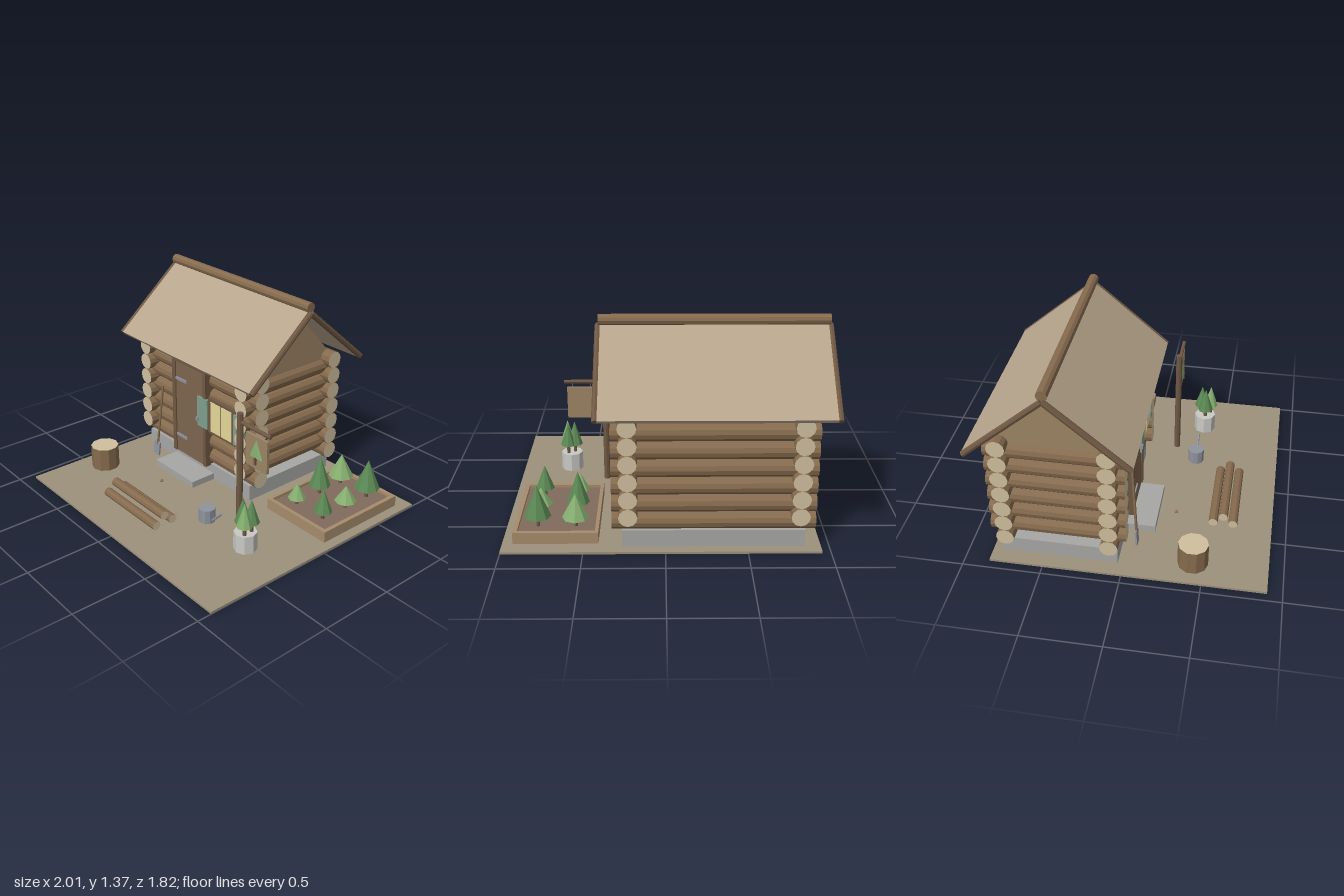
import * as THREE from 'three';

const mat = (color, extra = {}) => new THREE.MeshStandardMaterial({ color, flatShading: true, ...extra });
const M = {
  bark: mat(0x866b4e), cut: mat(0xcfbf9e), darkWood: mat(0x6f5843), door: mat(0x7d654d),
  roof: mat(0xb8a58c), gable: mat(0x9c8464), stone: mat(0xa6a6a4), metal: mat(0x8f939c),
  ground: mat(0x9c917c), soil: mat(0x806b5c), plank: mat(0xa68c6c), pot: mat(0xc9c9c4),
  glow: mat(0xe6d89a), shutter: mat(0x7fa08c), green: mat(0x5c8a55), lightGreen: mat(0x86b070),
  pebble: mat(0x9a7650),
};
const V = (x, y, z) => new THREE.Vector3(x, y, z);

export function createModel() {
  const root = new THREE.Group();

  const group = (name) => {
    const g = new THREE.Group();
    g.name = name;
    root.add(g);
    return g;
  };
  const add = (name, geo, material, parent = root) => {
    const m = new THREE.Mesh(geo, material);
    m.name = name;
    parent.add(m);
    return m;
  };
  // Box given by its minimum and maximum corners
  const box = (name, material, [x0, y0, z0], [x1, y1, z1], parent) => {
    const m = add(name, new THREE.BoxGeometry(x1 - x0, y1 - y0, z1 - z0), material, parent);
    m.position.set((x0 + x1) / 2, (y0 + y1) / 2, (z0 + z1) / 2);
    return m;
  };
  // Round pole between two points
  const pole = (name, material, a, b, r, sides, parent, ends = material) => {
    const d = b.clone().sub(a);
    const m = add(name, new THREE.CylinderGeometry(r, r, d.length(), sides), [material, ends, ends], parent);
    m.position.copy(a).add(b).multiplyScalar(0.5);
    m.quaternion.setFromUnitVectors(V(0, 1, 0), d.normalize());
    return m;
  };
  // Low-poly fir: trunk and one cone
  const tree = (x, z, ground, base, top, r, material, parent) => {
    pole('treeTrunk', M.darkWood, V(x, ground, z), V(x, base + 0.01, z), 0.012, 6, parent);
    const c = add('treeCrown', new THREE.ConeGeometry(r, top - base, 8), material, parent);
    c.position.set(x, (base + top) / 2, z);
  };

  // Ground slab and cabin foundation
  box('ground', M.ground, [-0.945, 0, -0.84], [1, 0.015, 0.905]);
  box('foundation', M.stone, [-0.845, 0.01, -0.775], [0.265, 0.126, -0.035]);
  box('doorStep', M.stone, [-0.53, 0.01, -0.035], [-0.11, 0.06, 0.155]);

  // Stacked log walls with crossing corners
  const walls = group('logWalls');
  const R = 0.0575, midX = -0.29, midZ = -0.4075, halfX = 0.515, halfZ = 0.3275;
  for (const s of [-1, 1]) {
    for (let i = 0; i < 7; i++) {
      const y = 0.183 + i * 0.115, z = midZ + s * halfZ;
      pole('longLog', M.bark, V(-0.905, y, z), V(0.325, y, z), R, 12, walls, M.cut);
    }
    for (let i = 0; i < 6; i++) {
      const y = 0.2405 + i * 0.115, x = midX + s * halfX;
      pole('sideLog', M.bark, V(x, y, -0.835), V(x, y, 0.02), R, 12, walls, M.cut);
    }
  }

  // Gable triangles
  const tri = new THREE.Shape([[-0.39, 0.86], [0.39, 0.86], [0, 1.285]].map((p) => new THREE.Vector2(...p)));
  for (const s of [-1, 1]) {
    const g = add('gable', new THREE.ExtrudeGeometry(tri, { depth: 0.05, bevelEnabled: false }), M.gable);
    g.rotation.y = Math.PI / 2;
    g.position.set(midX + s * halfX - 0.025, 0, midZ);
  }

  // Roof slopes, edge poles and ridge log
  const roof = group('roof');
  const ridgeY = 1.305, eaveY = 0.885, run = 0.493;
  const len = Math.hypot(run, ridgeY - eaveY);
  for (const s of [-1, 1]) {
    const slope = add('roofSlope', new THREE.BoxGeometry(1.365, 0.03, len), M.roof, roof);
    slope.position.set(-0.292, (ridgeY + eaveY) / 2, midZ + s * run / 2);
    slope.rotation.x = s * Math.atan2(ridgeY - eaveY, run);
    for (const x of [-0.985, 0.4]) {
      pole('roofEdge', M.darkWood, V(x, ridgeY, midZ), V(x, eaveY, midZ + s * run), 0.02, 8, roof);
    }
  }
  pole('ridgeLog', M.bark, V(-0.985, 1.34, midZ), V(0.4, 1.34, midZ), 0.034, 10, roof);

  // Door with frame, hinges and handle
  const door = group('door');
  box('frameLeft', M.darkWood, [-0.505, 0.115, -0.06], [-0.47, 0.855, 0.012], door);
  box('frameRight', M.darkWood, [-0.17, 0.115, -0.06], [-0.14, 0.855, 0.012], door);
  box('frameTop', M.darkWood, [-0.47, 0.815, -0.06], [-0.17, 0.855, 0.012], door);
  box('doorPanel', M.door, [-0.47, 0.115, -0.06], [-0.17, 0.815, 0.003], door);
  for (const y of [0.25, 0.687]) box('hinge', M.metal, [-0.465, y - 0.01, 0], [-0.35, y + 0.01, 0.012], door);
  box('handle', M.metal, [-0.23, 0.448, 0], [-0.21, 0.478, 0.025], door);

  // Window with two panes and shutters
  const win = group('window');
  box('windowFrame', M.darkWood, [-0.12, 0.395, -0.06], [0.155, 0.655, 0.005], win);
  for (const x of [-0.09, 0.023]) box('pane', M.glow, [x, 0.415, -0.02], [x + 0.1, 0.635, 0.01], win);
  for (const x of [-0.225, 0.152]) box('shutter', M.shutter, [x, 0.415, -0.005], [x + 0.105, 0.635, 0.016], win);

  // Planter bed with firs
  const bed = group('planterBed');
  box('bedBack', M.plank, [0.41, 0.01, -0.74], [0.935, 0.09, -0.713], bed);
  box('bedFront', M.plank, [0.41, 0.01, -0.092], [0.935, 0.09, -0.065], bed);
  box('bedSide', M.plank, [0.41, 0.01, -0.713], [0.432, 0.09, -0.092], bed);
  box('bedSide', M.plank, [0.908, 0.01, -0.713], [0.935, 0.09, -0.092], bed);
  box('soil', M.soil, [0.432, 0.01, -0.713], [0.908, 0.07, -0.092], bed);
  [
    [0.555, -0.61, 0.13, 0.29, 0.085, M.lightGreen], [0.79, -0.61, 0.14, 0.345, 0.085, M.green],
    [0.555, -0.405, 0.13, 0.34, 0.073, M.green], [0.79, -0.405, 0.12, 0.23, 0.073, M.lightGreen],
    [0.555, -0.195, 0.115, 0.225, 0.061, M.lightGreen], [0.79, -0.195, 0.125, 0.285, 0.061, M.green],
  ].forEach(([x, z, base, top, r, m]) => tree(x, z, 0.06, base, top, r, m, bed));

  // Pot with three young firs
  const pot = group('pottedTrees');
  pole('pot', M.pot, V(0.66, 0.01, 0.35), V(0.66, 0.14, 0.35), 0.075, 8, pot);
  tree(0.638, 0.352, 0.13, 0.2, 0.37, 0.055, M.green, pot);
  tree(0.69, 0.385, 0.13, 0.205, 0.365, 0.052, M.lightGreen, pot);
  tree(0.683, 0.322, 0.13, 0.205, 0.365, 0.052, M.green, pot);

  // Hanging sign with a raised fir
  const sign = group('sign');
  const sz = 0.175;
  pole('signPost', M.darkWood, V(0.402, 0.01, sz), V(0.402, 0.795, sz), 0.021, 8, sign);
  pole('signArm', M.darkWood, V(0.39, 0.735, sz), V(0.68, 0.735, sz), 0.013, 8, sign);
  box('signBoard', M.gable, [0.465, 0.475, sz - 0.009], [0.66, 0.695, sz + 0.009], sign);
  for (const x of [0.5, 0.625]) pole('hanger', M.metal, V(x, 0.69, sz), V(x, 0.73, sz), 0.003, 5, sign);
  const emblem = add('signTree', new THREE.ConeGeometry(0.057, 0.125, 8), M.lightGreen, sign);
  emblem.position.set(0.562, 0.613, sz + 0.009);
  emblem.scale.z = 0.15;
  box('signTrunk', M.darkWood, [0.555, 0.505, sz], [0.569, 0.555, sz + 0.022], sign);

  // Chopping stump and log pile
  pole('stump', M.bark, V(-0.77, 0.01, 0.43), V(-0.77, 0.178, 0.43), 0.097, 10, root, M.cut);
  const pile = group('logPile');
  for (const [y, z] of [[0.042, 0.52], [0.042, 0.65], [0.095, 0.585]]) {
    pole('firewood', M.bark, V(-0.41, y, z), V(0.145, y, z), 0.03, 10, pile, M.cut);
  }

  // Shovel leaning on the wall
  const shovel = group('shovel');
  pole('shovelHandle', M.bark, V(-0.647, 0.1, 0.052), V(-0.605, 0.578, 0.02), 0.009, 6, shovel);
  const blade = box('shovelBlade', M.metal, [-0.685, 0.02, 0.048], [-0.62, 0.125, 0.06], shovel);
  blade.rotation.set(-0.07, 0, -0.09);

  // Watering can and pebble
  const can = group('wateringCan');
  pole('canBody', M.metal, V(0.263, 0.01, 0.33), V(0.263, 0.11, 0.33), 0.055, 10, can);
  pole('canSpout', M.metal, V(0.305, 0.025, 0.33), V(0.41, 0.132, 0.33), 0.009, 6, can);
  const pebble = add('pebble', new THREE.IcosahedronGeometry(0.014, 0), M.pebble);
  pebble.position.set(-0.32, 0.02, 0.265);

  return root;
}
